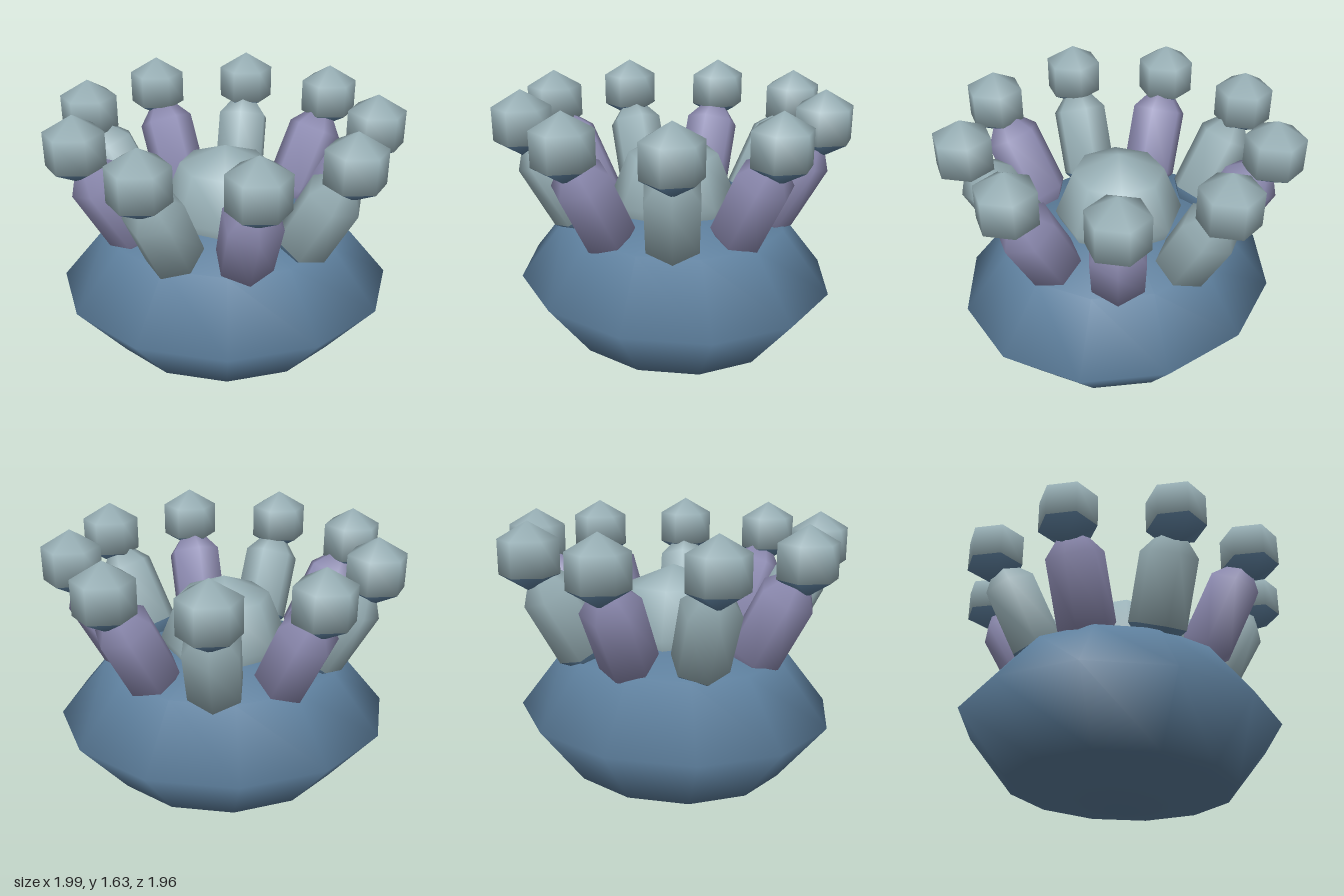
import * as THREE from 'three';

export function createModel() {
  const mat = (name, color) => {
    const m = new THREE.MeshStandardMaterial({ color });
    m.name = name;
    return m;
  };
  const blue = mat('slate blue', 0x5d7f9d);
  const teal = mat('pale teal', 0x9ab2b8);
  const purple = mat('dusty purple', 0x918fb6);

  const model = new THREE.Group();
  model.name = 'creature';
  const centre = new THREE.Group();
  centre.name = 'bodyAssembly';
  centre.position.x = -0.02;
  model.add(centre);

  const add = (parent, name, geometry, material, x, y, z) => {
    const mesh = new THREE.Mesh(geometry, material);
    mesh.name = name;
    mesh.position.set(x, y, z);
    parent.add(mesh);
    return mesh;
  };

  // Wide, flattened body
  const body = add(centre, 'body', new THREE.SphereGeometry(1, 12, 4), blue, 0, 0.49, 0);
  body.scale.set(0.98, 0.49, 0.89);

  // Round dome in the middle of the top
  add(centre, 'dome', new THREE.SphereGeometry(0.37, 8, 4), teal, 0, 0.963, 0);

  // Six-sided bead; its lowest row of faces takes the second material
  const bead = new THREE.SphereGeometry(0.19, 6, 3);
  bead.clearGroups();
  bead.addGroup(0, 54, 0);
  bead.addGroup(54, 18, 1);

  // Ring of nine outward-leaning stalks, alternating in colour, each with a tip
  const count = 9;
  for (let i = 0; i < count; i++) {
    const angle = (i / count) * Math.PI * 2;
    const arm = new THREE.Group();
    arm.name = 'stalk' + (i + 1);
    arm.rotation.y = -angle;
    centre.add(arm);

    const colors = i % 2 ? [teal, blue] : [purple, purple];
    const stalk = add(arm, 'stalkShaft', bead, colors, 0.65, 1.07, 0);
    stalk.scale.y = 2.05;
    stalk.rotation.z = -0.5;

    // Tips keep the same facing all round the ring
    add(centre, 'stalkTip' + (i + 1), bead, [teal, blue],
      0.85 * Math.cos(angle), 1.437, 0.85 * Math.sin(angle));
  }
  return model;
}
